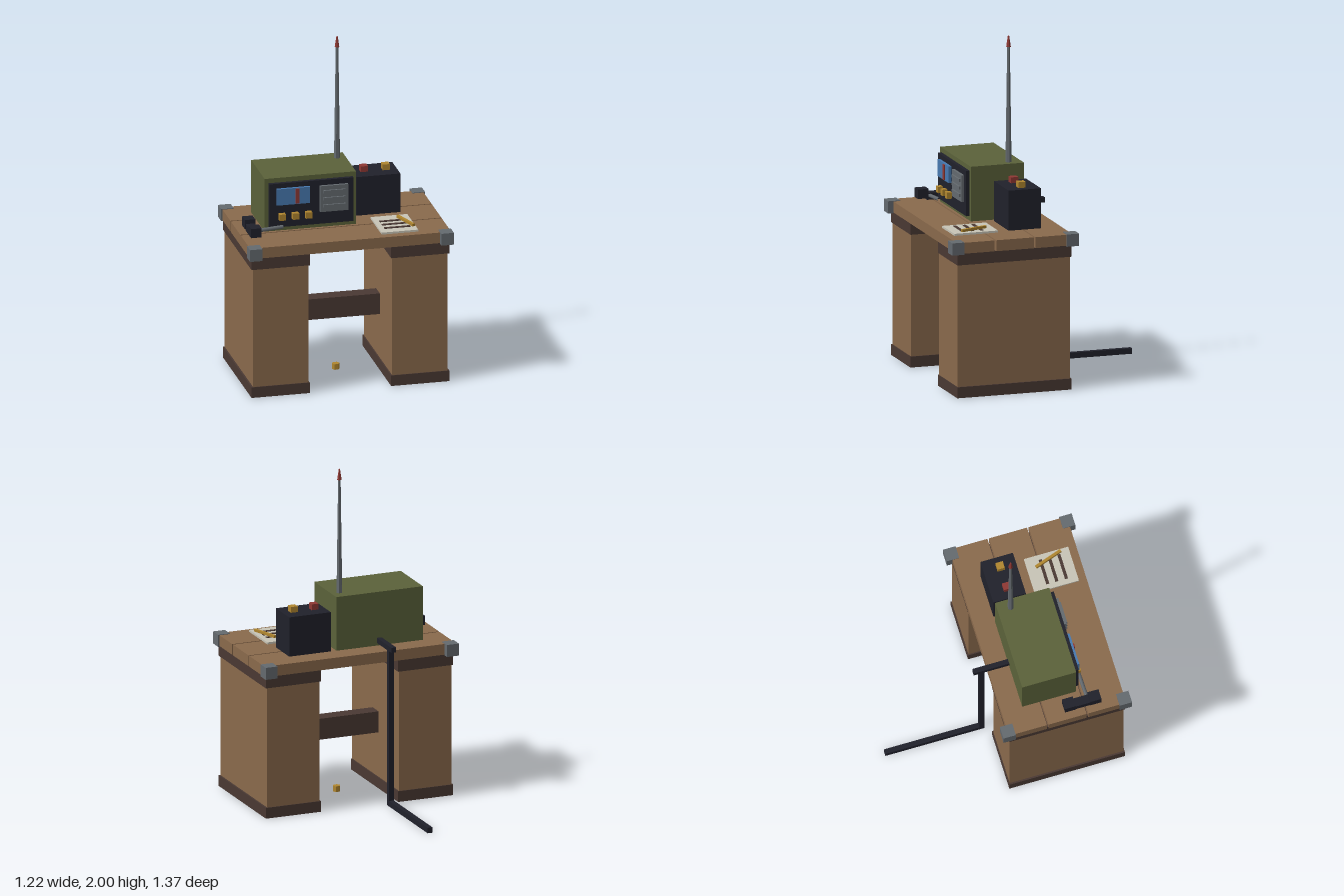
import * as THREE from 'three';

const mat = (name, color) => new THREE.MeshStandardMaterial({ name, color });

export function createModel() {
  const root = new THREE.Group();
  root.name = 'radioDesk';

  const wood = mat('wood', 0x8a6a4c);
  const darkWood = mat('darkWood', 0x4a3933);
  const olive = mat('olive', 0x5b623a);
  const black = mat('black', 0x20212b);
  const steel = mat('steel', 0x646a6f);
  const blue = mat('blue', 0x4779b0);
  const red = mat('red', 0x8f3833);
  const brass = mat('brass', 0xb0862f);
  const paper = mat('paper', 0xc8c5b7);

  const add = (name, geometry, material, x = 0, y = 0, z = 0, parent = root) => {
    const mesh = new THREE.Mesh(geometry, material);
    mesh.name = name;
    mesh.position.set(x, y, z);
    parent.add(mesh);
    return mesh;
  };
  // box given by its limits on each axis
  const box = (name, material, [x0, x1], [y0, y1], [z0, z1], parent = root) =>
    add(name, new THREE.BoxGeometry(x1 - x0, y1 - y0, z1 - z0), material,
      (x0 + x1) / 2, (y0 + y1) / 2, (z0 + z1) / 2, parent);
  const group = (name) => {
    const g = new THREE.Group();
    g.name = name;
    root.add(g);
    return g;
  };
  // faceted upright cylinder with a corner towards x
  const hex = (r0, r1, h) => {
    const g = new THREE.CylinderGeometry(r1, r0, h, 6).toNonIndexed();
    g.rotateY(Math.PI / 6);
    g.computeVertexNormals();
    return g;
  };

  // Desk: two pedestals with plinth and cap, planks, metal corners, cross bar
  const desk = group('desk');
  for (const s of [-1, 1]) {
    const span = (a, b) => (s < 0 ? [-b, -a] : [a, b]);
    box('pedestal', wood, span(0.25, 0.58), [0.065, 0.79], [-0.05, 0.64], desk);
    box('plinth', darkWood, span(0.243, 0.59), [0, 0.065], [-0.055, 0.645], desk);
    box('pedestalCap', darkWood, span(0.243, 0.59), [0.79, 0.86], [-0.055, 0.645], desk);
    for (const z of [-0.058, 0.645])
      add('cornerBracket', new THREE.BoxGeometry(0.075, 0.073, 0.075), steel, s * 0.571, 0.892, z, desk);
  }
  for (let i = 0; i < 3; i++)
    box('topPlank', wood, [-0.6, 0.6], [0.86, 0.925], [-0.06 + i * 0.24, 0.17 + i * 0.24], desk);
  box('crossBar', darkWood, [-0.25, 0.25], [0.335, 0.462], [0.25, 0.34], desk);

  // Radio set
  const radio = group('radio');
  box('radioCase', olive, [-0.45, 0.095], [0.925, 1.25], [0.065, 0.392], radio);
  box('frontPanel', black, [-0.427, 0.075], [0.953, 1.222], [0.392, 0.414], radio);
  box('dial', blue, [-0.386, -0.188], [1.093, 1.193], [0.414, 0.43], radio);
  box('dialNeedle', red, [-0.275, -0.252], [1.098, 1.188], [0.43, 0.438], radio);
  box('speaker', steel, [-0.127, 0.04], [1.03, 1.19], [0.414, 0.43], radio);
  for (const y of [1.067, 1.111, 1.155])
    box('speakerSlat', steel, [-0.11, 0.023], [y - 0.009, y + 0.009], [0.43, 0.44], radio);
  for (const x of [-0.354, -0.275, -0.197])
    add('knob', new THREE.BoxGeometry(0.038, 0.038, 0.03), brass, x, 1.021, 0.429, radio);

  // Antenna
  add('antennaMast', hex(0.018, 0.008, 0.69), steel, 0.043, 1.595, 0.143, radio);
  add('antennaTip', hex(0.014, 0.004, 0.065), red, 0.043, 1.967, 0.143, radio);

  // Battery with terminals and lead to the radio
  const battery = group('battery');
  box('batteryCase', black, [0.13, 0.392], [0.925, 1.163], [0.065, 0.262], battery);
  box('positiveTerminal', red, [0.174, 0.217], [1.163, 1.198], [0.143, 0.187], battery);
  box('negativeTerminal', brass, [0.305, 0.348], [1.163, 1.198], [0.143, 0.187], battery);
  box('batteryLead', steel, [0.095, 0.13], [1.02, 1.046], [0.147, 0.173], battery);

  // Handset and its cord
  const handset = group('handset');
  box('handsetGrip', black, [-0.554, -0.501], [0.927, 0.968], [0.35, 0.455], handset);
  for (const z of [0.324, 0.479])
    box('handsetCup', black, [-0.56, -0.497], [0.937, 0.993], [z - 0.033, z + 0.033], handset);
  const cord = new THREE.LineCurve3(
    new THREE.Vector3(-0.525, 0.951, 0.439), new THREE.Vector3(-0.35, 0.962, 0.434));
  add('handsetCord', new THREE.TubeGeometry(cord, 1, 0.011, 6), steel, 0, 0, 0, handset);

  // Notepad with written lines and pencil
  const notepad = group('notepad');
  box('paperSheet', paper, [0.197, 0.415], [0.925, 0.937], [0.335, 0.603], notepad);
  for (const z of [0.424, 0.479, 0.537])
    box('writtenLine', darkWood, [0.228, 0.384], [0.937, 0.941], [z - 0.009, z + 0.009], notepad);
  add('pencil', new THREE.BoxGeometry(0.017, 0.015, 0.175), brass, 0.372, 0.949, 0.47, notepad)
    .rotation.y = 0.325;

  // Power cable out of the back, down and along the floor
  const cable = group('powerCable');
  box('cableUpper', black, [-0.19, -0.16], [0.941, 0.972], [-0.15, 0.065], cable);
  box('cableDrop', black, [-0.19, -0.16], [0, 0.941], [-0.115, -0.085], cable);
  box('cableFloor', black, [-0.19, -0.16], [0, 0.033], [-0.685, -0.085], cable);

  // Small brass piece on the floor
  add('floorBrass', hex(0.023, 0.023, 0.034), brass, 0, 0.017, 0.285);

  return root;
}
